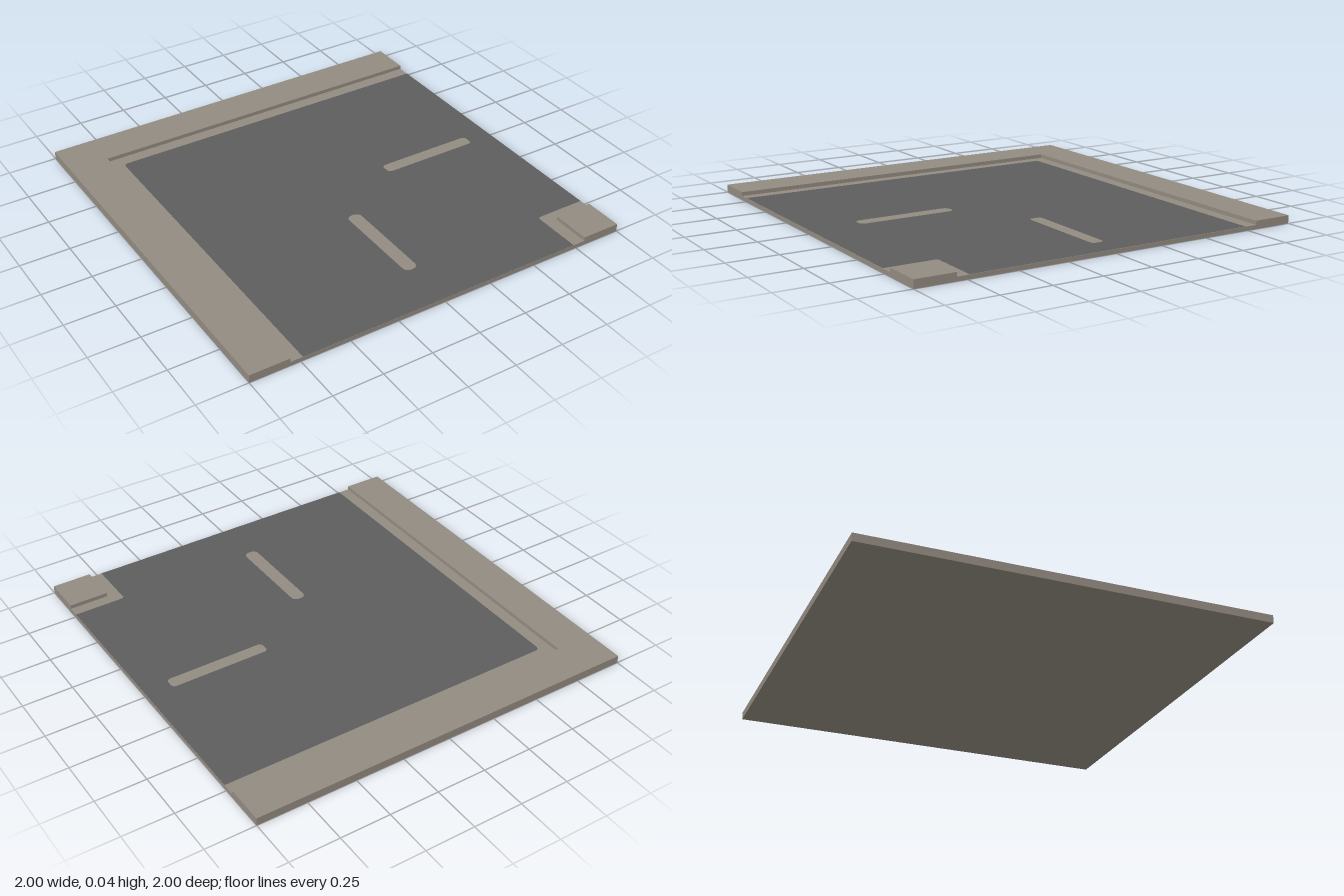
import * as THREE from 'three';

const SLAB = 0.02, TOP = 0.04;

// Shapes are drawn in plan as (x, -z), then laid flat
const outline = (points) => new THREE.Shape(points.map(([x, z]) => new THREE.Vector2(x, -z)));

// Rounded rectangle in plan, used for the lane markings
function roundedSlot(x0, x1, z0, z1, r) {
  const p = new THREE.Path();
  p.absarc(x1 - r, -z0 - r, r, 0, Math.PI / 2, false);
  p.absarc(x0 + r, -z0 - r, r, Math.PI / 2, Math.PI, false);
  p.absarc(x0 + r, -z1 + r, r, Math.PI, Math.PI * 1.5, false);
  p.absarc(x1 - r, -z1 + r, r, Math.PI * 1.5, Math.PI * 2, false);
  p.closePath();
  return p;
}

export function createModel() {
  const group = new THREE.Group();
  const stone = new THREE.MeshStandardMaterial({ name: 'paleStone', color: 0x938b81 });
  const asphalt = new THREE.MeshStandardMaterial({ name: 'asphalt', color: 0x5e5e5e });

  const add = (name, geometry, material) => {
    const mesh = new THREE.Mesh(geometry, material);
    mesh.name = name;
    group.add(mesh);
    return mesh;
  };

  // Base slab
  add('baseSlab', new THREE.BoxGeometry(2, SLAB, 2), stone).position.y = SLAB / 2;

  // Raised L-shaped pavement around the outside of the bend
  const pavement = outline([[-1, -1], [1, -1], [1, -0.8], [-0.8, -0.8], [-0.8, 1], [-1, 1]]);
  const pavementGeometry = new THREE.ExtrudeGeometry(pavement, { depth: TOP - SLAB, bevelEnabled: false });
  pavementGeometry.rotateX(-Math.PI / 2);
  add('outerPavement', pavementGeometry, stone).position.y = SLAB;

  // Raised pavement block on the inside of the bend
  add('innerPavement', new THREE.BoxGeometry(0.2, TOP - SLAB, 0.2), stone)
    .position.set(0.9, (SLAB + TOP) / 2, 0.9);

  // Road surface, leaving the gutters and lane markings bare
  const road = outline([
    [-0.74, 1], [0.735, 1], [0.735, 0.75], [0.745, 0.74], [1, 0.74],
    [1, -0.735], [-0.72, -0.735], [-0.734, -0.729], [-0.74, -0.715],
  ]);
  road.holes.push(
    roundedSlot(0.355, 0.87, -0.03, 0.035, 0.02),
    roundedSlot(-0.04, 0.03, 0.25, 0.75, 0.03),
  );
  const roadGeometry = new THREE.ShapeGeometry(road, 6);
  roadGeometry.rotateX(-Math.PI / 2);
  add('roadSurface', roadGeometry, asphalt).position.y = SLAB + 0.001;

  return group;
}
